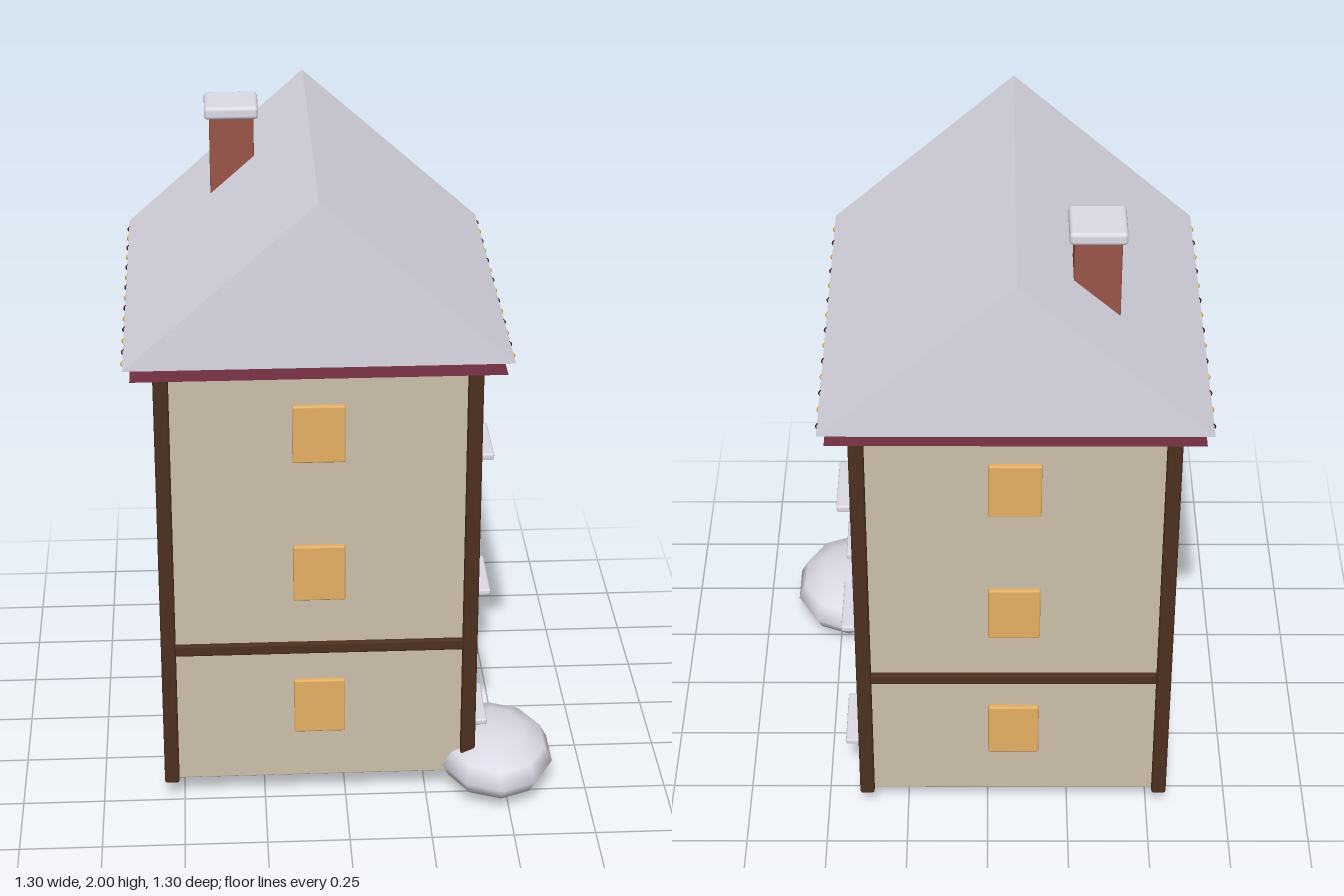
import * as THREE from 'three';
import { RoundedBoxGeometry } from 'three/addons/geometries/RoundedBoxGeometry.js';

const mat = (name, color) => {
  const m = new THREE.MeshStandardMaterial({ color });
  m.name = name;
  return m;
};

export function createModel() {
  const plaster = mat('plaster', 0xccc0aa);
  const timber = mat('timber', 0x4c301f);
  const snow = mat('snow', 0xe0deea);
  const burgundy = mat('burgundy', 0x7c3448);
  const glow = mat('warm window', 0xeab366);
  const brick = mat('brick', 0x9a5548);
  const bulbYellow = mat('yellow bulb', 0xe8b840);
  const bulbDark = mat('dark bulb', 0x4a2034);

  const model = new THREE.Group();
  model.name = 'snowyHouse';
  const add = (name, geometry, material, x, y, z) => {
    const mesh = new THREE.Mesh(geometry, material);
    mesh.name = name;
    mesh.position.set(x, y, z);
    model.add(mesh);
    return mesh;
  };
  // Box with softly rounded edges
  const box = (name, material, w, h, d, x, y, z, r = 0.004) =>
    add(name, new RoundedBoxGeometry(w, h, d, 2, r), material, x, y, z);

  const CX = -0.08, CZ = -0.047;   // centre of the house
  const HX = 0.458, HZ = 0.535;    // half width and half depth of the walls
  const wallX = CX + HX;

  // Walls, corner posts and the belt beams between storeys
  box('walls', plaster, HX * 2, 1.38, HZ * 2, CX, 0.76, CZ);
  for (const sx of [-1, 1]) for (const sz of [-1, 1])
    box('cornerPost', timber, 0.045, 1.385, 0.045, CX + sx * HX, 0.757, CZ + sz * HZ, 0.008);
  for (const s of [-1, 1]) {
    box('beltBeam', timber, HX * 2, 0.036, 0.03, CX, 0.528, CZ + s * HZ, 0.006);
    box('beltBeam', timber, 0.03, 0.036, HZ * 2, CX + s * HX, 0.528, CZ, 0.006);
  }

  // Roof: burgundy boards below a thick layer of snow
  const prism = (name, material, half, base, apex, depth) => {
    const shape = new THREE.Shape();
    shape.moveTo(-half, base);
    shape.lineTo(half, base);
    shape.lineTo(0, apex);
    shape.closePath();
    const g = new THREE.ExtrudeGeometry(shape, { depth, bevelEnabled: false });
    g.translate(0, 0, -depth / 2);
    add(name, g, material, CX, 0, -0.049);
  };
  prism('roofBoards', burgundy, 0.545, 1.445, 1.925, 1.192);
  prism('roofSnow', snow, 0.565, 1.483, 1.986, 1.206);

  // Chimney
  box('chimney', brick, 0.136, 0.42, 0.136, -0.312, 1.76, -0.322);
  box('chimneySnow', snow, 0.165, 0.04, 0.165, -0.312, 1.98, -0.322, 0.012);

  // String of lights along both eaves
  const bulb = new THREE.SphereGeometry(0.01, 8, 6);
  for (const s of [-1, 1]) for (let i = 0; i < 14; i++)
    add('light', bulb, i % 2 ? bulbYellow : bulbDark, CX + s * 0.561, 1.476, -0.592 + i * 0.0826);

  // Framed window on the entrance side, with a snow-covered sill
  const framedWindow = (y, z) => {
    const shape = new THREE.Shape();
    shape.moveTo(-0.1, -0.117);
    shape.lineTo(0.1, -0.117);
    shape.lineTo(0.1, 0.117);
    shape.lineTo(-0.1, 0.117);
    shape.closePath();
    const hole = new THREE.Path();
    hole.moveTo(-0.078, -0.092);
    hole.lineTo(-0.078, 0.092);
    hole.lineTo(0.078, 0.092);
    hole.lineTo(0.078, -0.092);
    hole.closePath();
    shape.holes.push(hole);
    const g = new THREE.ExtrudeGeometry(shape, { depth: 0.022, bevelEnabled: false });
    g.rotateY(Math.PI / 2);
    add('windowFrame', g, timber, wallX, y, z);
    box('windowPane', glow, 0.016, 0.184, 0.156, wallX, y, z);
    box('windowSill', snow, 0.075, 0.02, 0.226, wallX + 0.03, y - 0.123, z, 0.006);
  };

  // Three storeys of windows; the middle of the ground floor is the door
  for (const [row, y] of [0.325, 0.785, 1.245].entries()) {
    for (const col of [-1, 0, 1])
      if (row > 0 || col !== 0) framedWindow(y, CZ + col * 0.357);
    for (const s of [-1, 1])
      box('gableWindow', glow, 0.156, 0.182, 0.03, CX, y, CZ + s * HZ, 0.005);
  }
  box('door', burgundy, 0.03, 0.355, 0.2, wallX, 0.245, CZ);
  box('doorCanopy', snow, 0.07, 0.016, 0.276, wallX + 0.028, 0.449, CZ, 0.005);

  // Snow heap at the front corner
  const heap = new THREE.SphereGeometry(1, 10, 6);
  heap.rotateY(Math.PI / 2);
  heap.scale(0.182, 0.0925, 0.242);
  add('snowHeap', heap, snow, 0.472, 0.0925, 0.409);

  return model;
}
